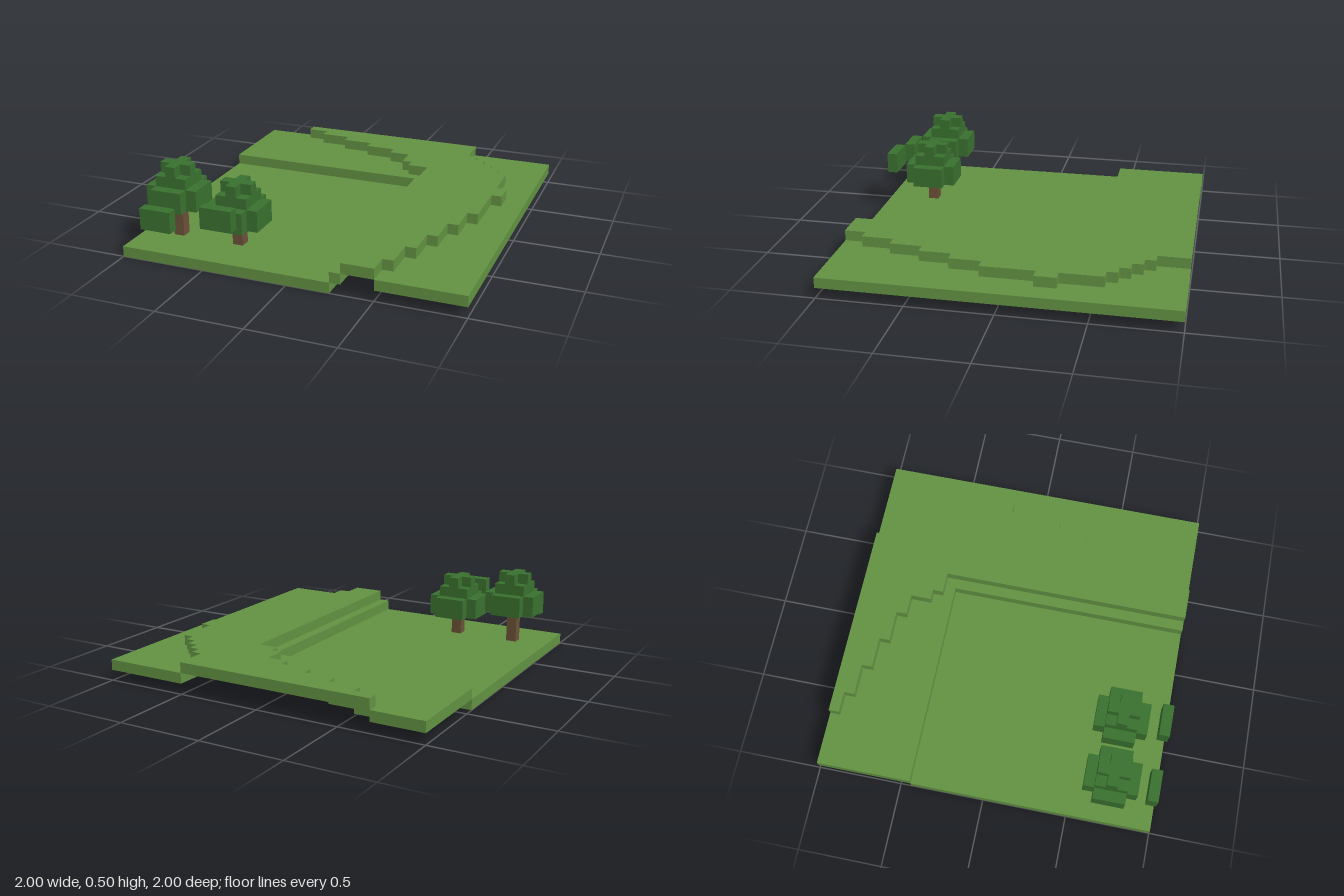
import * as THREE from 'three';

const U = 1 / 16; // one block; all numbers below are in blocks

const grass = new THREE.MeshStandardMaterial({ color: 0x629142 });
grass.name = 'grass green';
const leaf = new THREE.MeshStandardMaterial({ color: 0x39702e });
leaf.name = 'leaf green';
const bark = new THREE.MeshStandardMaterial({ color: 0x6b5038 });
bark.name = 'bark brown';

// Stepped edges of the raised path: [x, z where this step ends], back to front
const pathLeft = [[-11, -15], [-9, -14], [-6, -13], [-3, -12], [0, -11], [2, -9], [3, -8], [5, 16]];
const pathRight = [[8, -13], [9, -12], [10, -11], [11, -10], [12, -9], [13, -5], [14, -3],
  [13, 2], [12, 5], [11, 8], [10, 11], [9, 14], [8, 16]];

// Turn steps into outline corners running from z = -16 to z = 16
function stairs(steps) {
  const points = [];
  let z = -16;
  for (const [x, end] of steps) {
    points.push([x, z], [x, end]);
    z = end;
  }
  return points;
}

// Upright slab from an outline of [x, z] corners
function slab(name, outline, y, height, material, holes = []) {
  const toPoints = (list) => list.map(([x, z]) => new THREE.Vector2(x * U, -z * U));
  const shape = new THREE.Shape(toPoints(outline));
  for (const hole of holes) shape.holes.push(new THREE.Path(toPoints(hole)));
  const geometry = new THREE.ExtrudeGeometry(shape, { depth: height * U, bevelEnabled: false });
  geometry.rotateX(-Math.PI / 2);
  geometry.translate(0, y * U, 0);
  const mesh = new THREE.Mesh(geometry, material);
  mesh.name = name;
  return mesh;
}

const rect = (x0, x1, z0, z1) => [[x0, z0], [x1, z0], [x1, z1], [x0, z1]];

// Square of half width a with one-block notched corners
function cross(cx, cz, a) {
  const b = a - 1;
  return [[-b, -a], [b, -a], [b, -b], [a, -b], [a, b], [b, b], [b, a], [-b, a], [-b, b], [-a, b], [-a, -b], [-b, -b]]
    .map(([x, z]) => [cx + x, cz + z]);
}

const trees = [
  { x: -12.5, z: 11.5, crown: 4, edgeLeaves: 3 },
  { x: -6.5, z: 11.5, crown: 3, edgeLeaves: 4 },
];
const trunkOutline = (t) => rect(t.x - 0.5, t.x + 0.5, t.z - 0.5, t.z + 0.5);

function makeTree(t) {
  const tree = new THREE.Group();
  tree.name = 'tree';
  tree.add(
    slab('trunk', trunkOutline(t), 0, t.crown + 1, bark),
    slab('lowerCrown', cross(t.x, t.z, 2.5), t.crown, 2, leaf),
    slab('upperCrown', rect(t.x - 1.5, t.x + 1.5, t.z - 1.5, t.z + 1.5), t.crown + 2, 1, leaf),
    slab('crownTop', cross(t.x, t.z, 1.5), t.crown + 3, 1, leaf),
    // leaves cut off at the front border
    slab('edgeLeaves', rect(t.x - 1.5, t.x + 1.5, 15, 16), t.edgeLeaves, 2, leaf),
  );
  return tree;
}

export function createModel() {
  const model = new THREE.Group();
  model.name = 'terrain';
  const left = stairs(pathLeft);
  const right = stairs(pathRight);

  // Low meadow, with openings for the trunks
  model.add(slab('meadow', rect(-16, 4, -7, 16), 0, 1, grass, trees.map(trunkOutline)));
  // Middle terraces on either side of the path
  model.add(slab('backTerrace', [[-16, -16], ...left, [4, 16], [4, -7], [-16, -7]], 1, 1, grass));
  model.add(slab('sideTerrace', [...right, [16, 16], [16, -16]], 1, 1, grass));
  // Highest winding path
  model.add(slab('raisedPath', [...left, ...right.reverse()], 2, 1, grass));

  for (const t of trees) model.add(makeTree(t));
  return model;
}
